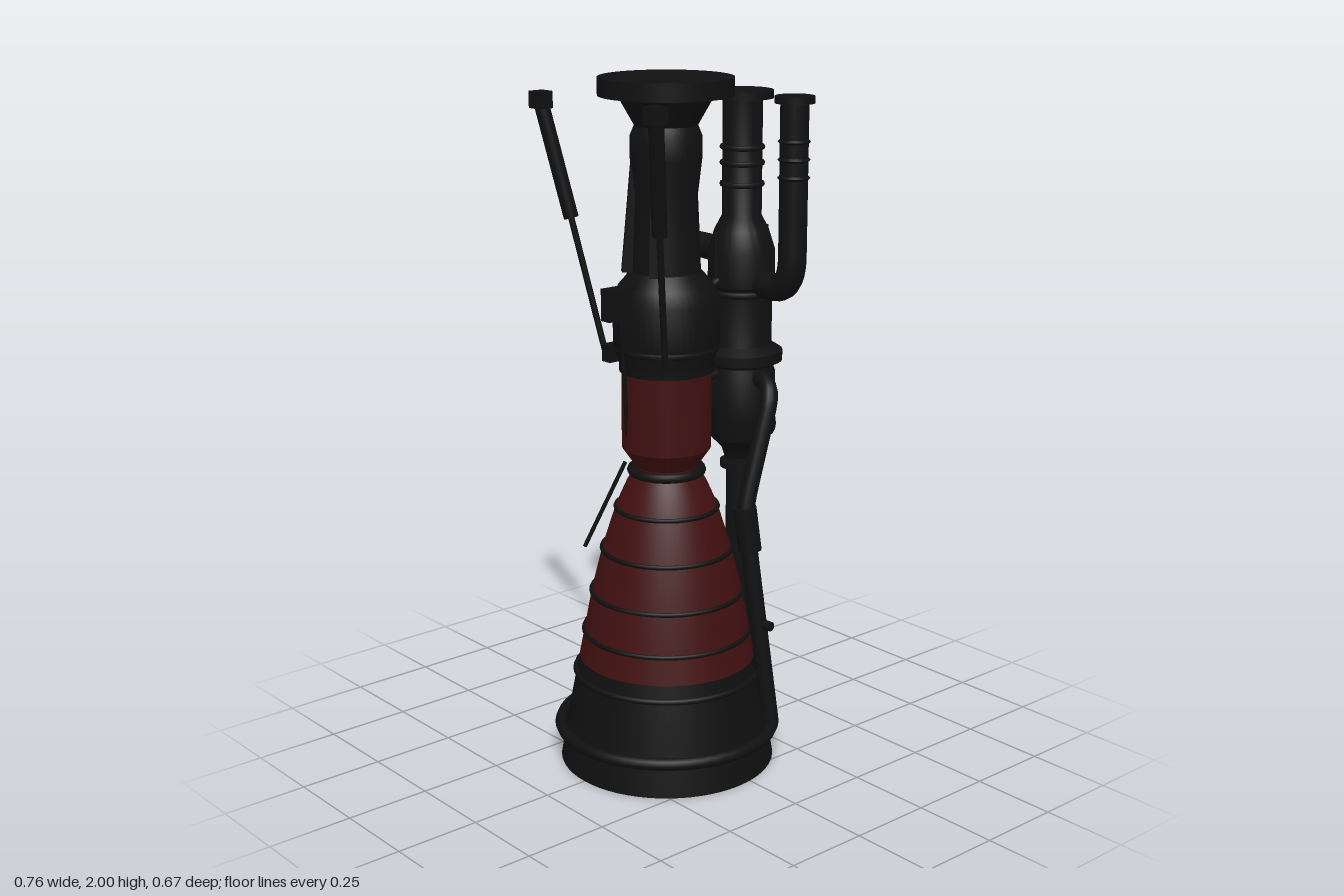
import * as THREE from 'three';
import { toCreasedNormals } from 'three/addons/utils/BufferGeometryUtils.js';

const V = (p) => new THREE.Vector3(...p);

export function createModel() {
  const model = new THREE.Group();
  const black = new THREE.MeshStandardMaterial({ color: 0x101010 });
  black.name = 'sootBlack';
  const red = new THREE.MeshStandardMaterial({ color: 0x421011 });
  red.name = 'darkRed';
  const AXIS = -0.05; // engine axis
  const PUMP = 0.235; // turbopump axis

  const add = (name, geo, mat = black) => {
    const m = new THREE.Mesh(geo, mat);
    m.name = name;
    model.add(m);
    return m;
  };
  // turned part from [radius, height] pairs, bottom to top
  const lathe = (name, pts, x, z = 0, mat = black, seg = 48) => {
    const g = new THREE.LatheGeometry(pts.map((p) => new THREE.Vector2(...p)), seg);
    const m = add(name, toCreasedNormals(g, 0.5), mat);
    m.position.set(x, 0, z);
    return m;
  };
  const ring = (name, r, y, tube, x, mat = black) => {
    const m = add(name, new THREE.TorusGeometry(r, tube, 8, 48), mat);
    m.rotation.x = Math.PI / 2;
    m.position.set(x, y, 0);
  };
  // straight rod between two points
  const rod = (name, a, b, ra, rb = ra, seg = 16) => {
    const A = V(a), B = V(b), d = B.clone().sub(A);
    const m = add(name, new THREE.CylinderGeometry(rb, ra, d.length(), seg));
    m.position.copy(A).add(B).multiplyScalar(0.5);
    m.quaternion.setFromUnitVectors(new THREE.Vector3(0, 1, 0), d.normalize());
    return m;
  };
  // pipe with rounded bends
  const pipe = (name, pts, r, bend = 0.07) => {
    const p = pts.map(V), path = new THREE.CurvePath();
    let last = p[0];
    for (let i = 1; i < p.length - 1; i++) {
      const toward = (q) => {
        const d = q.clone().sub(p[i]);
        return p[i].clone().add(d.setLength(Math.min(bend, d.length() * 0.48)));
      };
      const a = toward(p[i - 1]), b = toward(p[i + 1]);
      path.add(new THREE.LineCurve3(last, a));
      path.add(new THREE.QuadraticBezierCurve3(a, p[i], b));
      last = b;
    }
    path.add(new THREE.LineCurve3(last, p[p.length - 1]));
    add(name, new THREE.TubeGeometry(path, 48, r, 16));
  };

  // nozzle bell
  const lower = [[0.315, 0], [0.299, 0.1], [0.276, 0.22], [0.257, 0.32]];
  const upper = [[0.257, 0.32], [0.238, 0.42], [0.219, 0.52], [0.187, 0.65], [0.146, 0.78], [0.115, 0.85], [0.09, 0.89]];
  lathe('nozzleSkirt', lower, AXIS, 0, black, 64);
  lathe('nozzleBell', upper, AXIS, 0, red, 64);
  const inner = [...lower, ...upper.slice(1)].reverse().map(([r, y]) => [r - 0.006, y]);
  lathe('nozzleLining', [[0, 0.89], ...inner], AXIS, 0, red, 64);
  lathe('nozzleLip', [[0.309, 0], [0.315, 0]], AXIS, 0, black, 64);
  ring('stiffenerRing', 0.315, 0.105, 0.018, AXIS);
  ring('skirtRing', 0.268, 0.275, 0.009, AXIS);
  for (const [r, y] of [[0.243, 0.4], [0.22, 0.52], [0.188, 0.65], [0.147, 0.775]]) {
    ring('bellHoop', r, y, 0.007, AXIS);
  }
  ring('throatRing', 0.1, 0.885, 0.014, AXIS);

  // combustion chamber and injector dome
  lathe('chamber', [[0.088, 0.88], [0.09, 0.9], [0.128, 0.955], [0.128, 1.185]], AXIS, 0, red);
  lathe('injectorDome', [[0.128, 1.18], [0.134, 1.18], [0.134, 1.21], [0.15, 1.25], [0.152, 1.385], [0.135, 1.425],
    [0.1, 1.465], [0, 1.47]], AXIS);
  ring('domeFlange', 0.14, 1.25, 0.013, AXIS);
  const block = add('igniterBlock', new THREE.BoxGeometry(0.1, 0.09, 0.036));
  block.position.set(-0.22, 1.395, 0);

  // thrust neck and mounting plate
  lathe('thrustNeck', [[0.098, 1.44], [0.094, 1.55], [0.088, 1.68], [0.1, 1.78], [0.1, 1.84], [0.088, 1.87],
    [0.125, 1.935], [0.135, 1.955]], AXIS);
  lathe('mountPlate', [[0, 1.95], [0.188, 1.95], [0.188, 2], [0, 2]], AXIS, 0, black, 64);

  for (const s of [-1, 1]) {
    // tapered gusset beside the neck
    const shape = new THREE.Shape([[0.05, 1.46], [0.125, 1.465], [0.095, 1.8], [0.05, 1.8]].map((p) => new THREE.Vector2(...p)));
    const gusset = add('neckGusset', new THREE.ExtrudeGeometry(shape, { depth: 0.03, bevelEnabled: false }).translate(0, 0, -0.015));
    gusset.position.x = AXIS;
    gusset.rotation.y = Math.PI + s * 0.6;
    // steering actuator
    const top = [-0.293, 1.935, s * 0.245], mid = [-0.235, 1.61, s * 0.19];
    rod('actuatorBody', mid, top, 0.021, 0.021, 12);
    rod('actuatorRod', [-0.165, 1.22, s * 0.13], mid, 0.009);
    const end = add('actuatorMount', new THREE.BoxGeometry(0.047, 0.047, 0.047));
    end.position.set(-0.293, 1.935, s * 0.243);
    const foot = add('actuatorFoot', new THREE.BoxGeometry(0.045, 0.05, 0.035));
    foot.position.set(-0.155, 1.225, s * 0.115);
  }
  // thin sensor lines
  rod('sensorLine', [-0.215, 1.37, 0], [-0.17, 1.0, -0.03], 0.006);
  rod('lowerSensorLine', [-0.13, 0.9, -0.09], [-0.215, 0.64, -0.175], 0.006);
  rod('neckLine', [0.0, 1.72, -0.1], [0.06, 1.48, -0.18], 0.006);

  // turbopump body
  lathe('turbopump', [[0.045, 0.87], [0.055, 0.9], [0.085, 0.93], [0.1, 1.0], [0.102, 1.13], [0.09, 1.16], [0.09, 1.38],
    [0.097, 1.39], [0.097, 1.49], [0.078, 1.55], [0.057, 1.59], [0.057, 1.93], [0, 1.93]], PUMP);
  lathe('pumpFlange', [[0.09, 1.15], [0.122, 1.165], [0.122, 1.195], [0.09, 1.215]], PUMP);
  lathe('inletFlange', [[0.05, 1.922], [0.087, 1.922], [0.087, 1.945], [0, 1.945]], PUMP);
  for (const y of [1.68, 1.74, 1.785]) ring('inletBellows', 0.057, y, 0.008, PUMP);
  ring('pumpCollar', 0.094, 1.37, 0.01, PUMP);
  rod('turbineHousing', [0.25, 0.96, 0], [0.335, 0.96, 0], 0.055, 0.05);
  for (const x of [0.137, 0.333]) rod('pumpPost', [x, 1.34, 0], [x, 1.55, 0], 0.006, 0.006, 8);
  rod('pumpBracket', [0.05, 1.12, 0], [0.17, 1.14, 0], 0.012);
  rod('upperBracket', [0.06, 1.37, 0], [0.17, 1.42, 0], 0.014);

  // exhaust duct
  lathe('exhaustFlange', [[0.03, 0.835], [0.058, 0.838], [0.058, 0.858], [0.03, 0.86]], PUMP);
  pipe('exhaustDuct', [[PUMP, 0.9, 0], [PUMP, 0.54, 0], [0.335, 0.055, 0]], 0.04, 0.03);
  rod('exhaustEnd', [0.334, 0.058, 0], [0.335, 0.055, 0], 0.04);
  const collar = rod('exhaustCollar', [0.231, 0.55, 0], [0.24, 0.51, 0], 0.046);
  collar.scale.y = 0.6;
  rod('ductStay', [0.17, 0.54, 0], [0.24, 0.54, 0], 0.012);
  rod('lowerDuctStay', [0.2, 0.29, 0], [0.29, 0.29, 0], 0.014);

  // front feed line with bellows
  pipe('frontFeedLine', [[0.235, 1.93, 0.21], [0.235, 1.4, 0.21], [0.235, 1.4, 0.06]], 0.04, 0.1);
  lathe('frontFeedFlange', [[0, 1.925], [0.056, 1.925], [0.056, 1.945], [0, 1.945]], 0.235, 0.21, black, 24);
  for (const y of [1.72, 1.77, 1.82]) lathe('feedBellows', [[0.038, y - 0.008], [0.046, y], [0.038, y + 0.008]], 0.235, 0.21, black, 24);

  // drain line down the front of the nozzle
  pipe('drainLine', [[0.23, 1.13, 0.06], [0.2, 1.12, 0.175], [0.1, 0.79, 0.175], [0.095, 0.74, 0.18], [0.145, 0.13, 0.24]], 0.025, 0.07);
  rod('drainSleeve', [0.108, 0.65, 0.185], [0.095, 0.78, 0.175], 0.034);
  rod('drainClamp', [0.12, 0.43, 0.19], [0.125, 0.43, 0.26], 0.014);

  // rear discharge duct from the pump to the dome
  pipe('dischargeDuct', [[0.24, 1.47, -0.04], [0.24, 1.48, -0.23], [0.13, 1.48, -0.245], [0.0, 1.41, -0.2], [-0.03, 1.36, -0.08]], 0.038, 0.09);
  rod('dischargeCollar', [0.11, 1.47, -0.243], [0.165, 1.48, -0.24], 0.044);

  // rear canister with its elbow
  pipe('rearCanister', [[0.16, 1.18, -0.155], [0.16, 0.95, -0.155], [0.225, 0.95, -0.05]], 0.034, 0.06);
  lathe('canisterCap', [[0.034, 1.17], [0.028, 1.19], [0, 1.195]], 0.16, -0.155, black, 20);
  rod('canisterLine', [0.16, 1.17, -0.15], [0.06, 1.27, -0.09], 0.012);

  return model;
}
